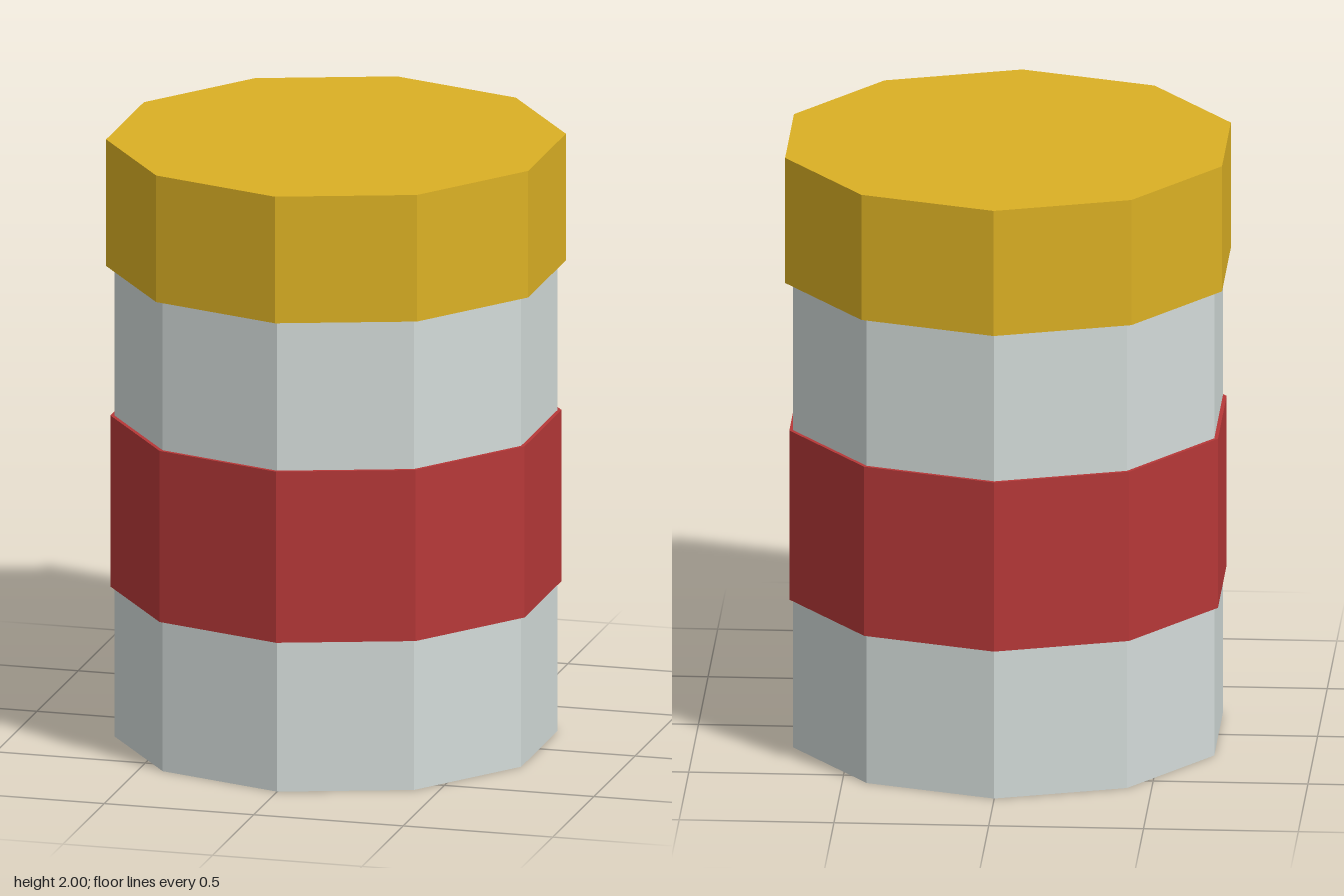
import * as THREE from 'three';

const SIDES = 10;

export function createModel() {
  const model = new THREE.Group();
  model.name = 'canister';

  const material = (name, color) => {
    const m = new THREE.MeshStandardMaterial({ color });
    m.name = name;
    m.flatShading = true;
    return m;
  };
  const silver = material('silver', 0xd3dbd9);
  const red = material('red', 0xb63838);
  const gold = material('gold', 0xdbb024);

  // Upright ten-sided drum between two heights, one corner facing the front
  const drum = (name, radius, bottom, top, mat) => {
    const geometry = new THREE.CylinderGeometry(radius, radius, top - bottom, SIDES);
    const mesh = new THREE.Mesh(geometry, mat);
    mesh.name = name;
    mesh.position.y = (bottom + top) / 2;
    model.add(mesh);
  };

  drum('body', 0.715, 0, 1.6, silver);
  drum('band', 0.728, 0.502, 1.075, red);
  drum('lid', 0.742, 1.576, 2, gold);

  return model;
}
